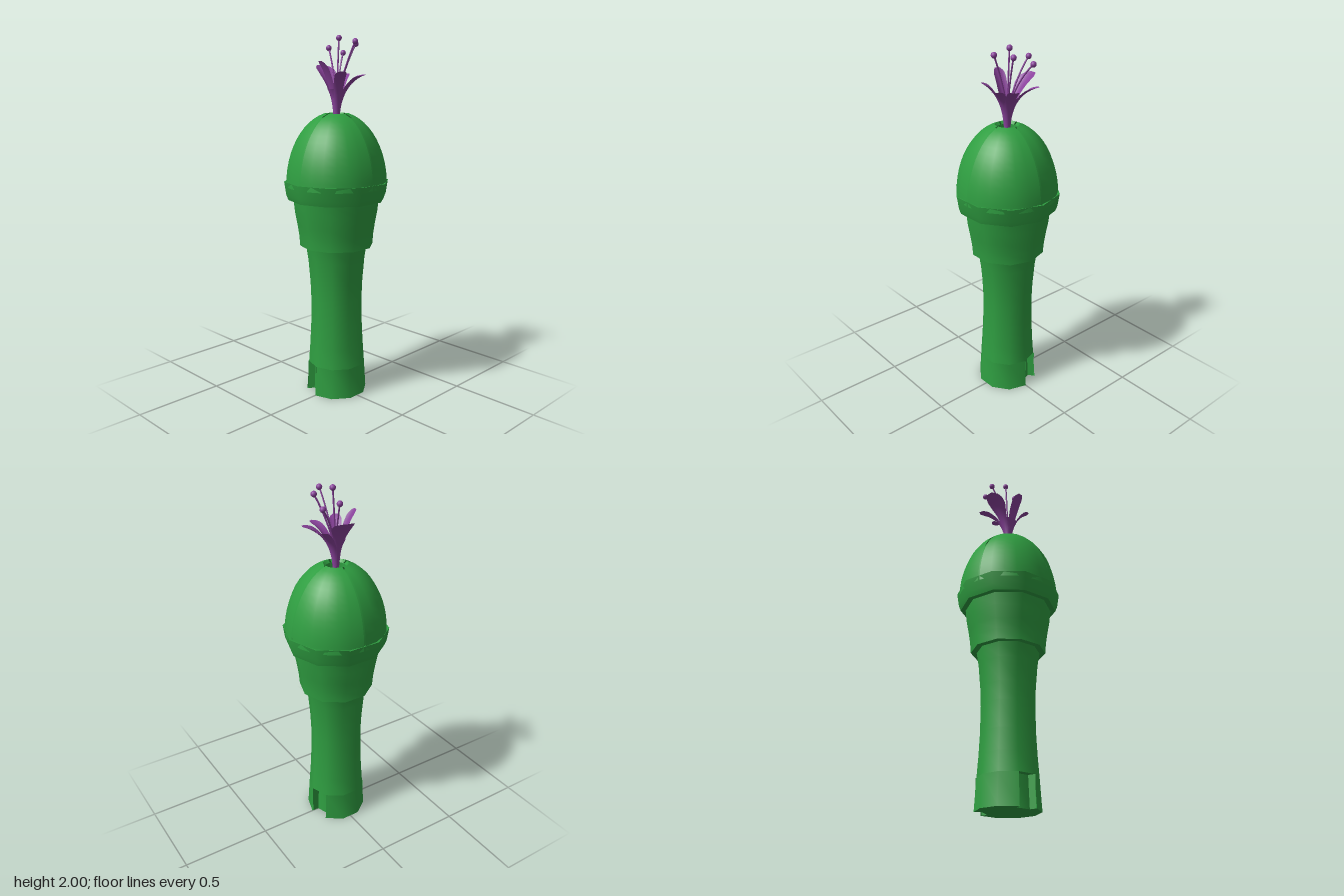
import * as THREE from 'three';
import { toCreasedNormals } from 'three/addons/utils/BufferGeometryUtils.js';

const green = new THREE.MeshStandardMaterial({ color: 0x2f9e41, side: THREE.DoubleSide });
const purple = new THREE.MeshStandardMaterial({ color: 0x8a429c, side: THREE.DoubleSide });
const FACET = Math.PI / 5; // the body has ten sides, with a corner on the x axis

function add(parent, name, geometry, material) {
  const mesh = new THREE.Mesh(geometry, material);
  mesh.name = name;
  parent.add(mesh);
  return mesh;
}

// Turned part: profile of [radius, y] running upward on the outside
function turned(profile, sides = 10, start = Math.PI / 2, length = Math.PI * 2) {
  const points = profile.map(([r, y]) => new THREE.Vector2(r, y));
  return toCreasedNormals(new THREE.LatheGeometry(points, sides, start, length), 0.75);
}

function addStem(group) {
  const notchTop = 0.17;
  add(group, 'stem', turned([
    [0.12, notchTop], [0.161, notchTop], [0.153, 0.28], [0.147, 0.4],
    [0.145, 0.55], [0.149, 0.65], [0.16, 0.78], [0.174, 0.87],
  ]), green);

  // Foot, leaving one facet open on each side of the back
  const foot = [[0, 0], [0.172, 0], [0.161, notchTop]];
  add(group, 'footFront', turned(foot, 5, Math.PI * 1.5, Math.PI), green);
  add(group, 'footBack', turned(foot, 3, Math.PI / 2 + FACET, FACET * 3), green);
  add(group, 'notchCore', turned([[0, 0], [0.13, 0], [0.122, notchTop + 0.005]]), green);

  // Side walls of the notches
  for (const phi of [0, FACET, Math.PI - FACET, Math.PI]) {
    const wall = add(group, 'notchWall', new THREE.PlaneGeometry(0.045, notchTop), green);
    wall.position.set(Math.cos(phi) * 0.143, notchTop / 2, -Math.sin(phi) * 0.143);
    wall.rotation.y = phi;
  }
}

function addCup(group) {
  add(group, 'cup', turned([
    [0.16, 0.86], [0.205, 0.86], [0.21, 0.92], [0.219, 0.98],
    [0.232, 1.05], [0.24, 1.125],
  ]), green);
  add(group, 'rim', turned([
    [0.23, 1.12], [0.268, 1.12], [0.279, 1.15], [0.29, 1.222], [0.28, 1.222], [0.255, 1.2],
  ]), green);
}

function addDome(group) {
  // Elliptical profile, open at the top
  const ellipse = (a, b, top) => {
    const profile = [];
    for (let i = 0; i <= 12; i++) {
      const t = (i / 12) * top;
      profile.push([a * Math.cos(t), 1.195 + b * Math.sin(t)]);
    }
    return profile;
  };
  const shell = [...ellipse(0.271, 0.404, 1.35), [0.045, 1.575], [0.045, 1.52]];
  const dome = new THREE.Group();
  dome.name = 'dome';
  // Four quarters, separated by narrow grooves
  for (let i = 0; i < 4; i++) {
    const start = (i * Math.PI) / 2;
    const quarter = add(dome, 'domeQuarter', turned(shell, 6, start, Math.PI / 2), green);
    const mid = start + Math.PI / 4;
    quarter.position.set(Math.sin(mid) * 0.007, 0, Math.cos(mid) * 0.007);
  }
  // Inner dome closing the grooves, with the floor of the top opening
  const core = ellipse(0.258, 0.388, 1.33);
  add(dome, 'domeCore', turned([...core, [0.058, 1.52], [0, 1.52]], 24), green);
  group.add(dome);
}

// Petal: a strip following a curve outward, wrapping the throat at its base
function petalGeometry(angle, reach, tipY, halfWidth) {
  const rows = 14, cols = 8;
  const path = new THREE.QuadraticBezierCurve(
    new THREE.Vector2(0.018, 1.58), new THREE.Vector2(0.03, 1.75), new THREE.Vector2(reach, tipY));
  const geometry = new THREE.PlaneGeometry(1, 1, cols, rows);
  const pos = geometry.attributes.position;
  for (let i = 0; i < pos.count; i++) {
    const s = pos.getX(i) * 2;
    const t = pos.getY(i) + 0.5;
    const p = path.getPoint(t);
    // Full width over most of the length, rounding off at the tip
    const end = Math.max(0, (t - 0.8) / 0.2);
    const width = halfWidth * Math.min(1, 0.75 + 0.3 * t) * Math.sqrt(1 - 0.85 * end * end);
    const a = angle + s * Math.min(0.62, width / p.x);
    const lift = 0.012 * s * s * t * (1 - end);
    pos.setXYZ(i, Math.cos(a) * p.x, p.y + lift, Math.sin(a) * p.x);
  }
  geometry.computeVertexNormals();
  return geometry;
}

function addFlower(group) {
  const flower = new THREE.Group();
  flower.name = 'flower';
  add(flower, 'throat', turned([
    [0.016, 1.5], [0.018, 1.58], [0.021, 1.62], [0.028, 1.665], [0.038, 1.695], [0.05, 1.72],
  ], 16), purple);

  // Angle in degrees from +x toward +z, reach, tip height, half width
  const petals = [
    [-79, 0.157, 1.845, 0.06], [-26, 0.174, 1.8, 0.031], [24, 0.172, 1.795, 0.033],
    [65, 0.154, 1.79, 0.031], [122, 0.133, 1.81, 0.032], [191, 0.107, 1.865, 0.034],
  ];
  for (const [deg, reach, tipY, halfWidth] of petals) {
    add(flower, 'petal', petalGeometry((deg * Math.PI) / 180, reach, tipY, halfWidth), purple);
  }

  // Stamens with a round head
  const heads = [
    [0.045, 1.935, -0.105], [0.12, 1.91, -0.07], [0.1, 1.955, 0.045],
    [0.028, 1.965, 0.11], [0.018, 1.985, 0],
  ];
  for (const [x, y, z] of heads) {
    const curve = new THREE.QuadraticBezierCurve3(
      new THREE.Vector3(0.004, 1.66, 0),
      new THREE.Vector3(x * 0.35, 1.82, z * 0.35),
      new THREE.Vector3(x, y, z));
    add(flower, 'stamen', new THREE.TubeGeometry(curve, 12, 0.0045, 6), purple);
    add(flower, 'stamenHead', new THREE.SphereGeometry(0.016, 12, 8), purple).position.set(x, y, z);
  }
  group.add(flower);
}

export function createModel() {
  const group = new THREE.Group();
  group.name = 'floweringColumn';
  addStem(group);
  addCup(group);
  addDome(group);
  addFlower(group);
  return group;
}
